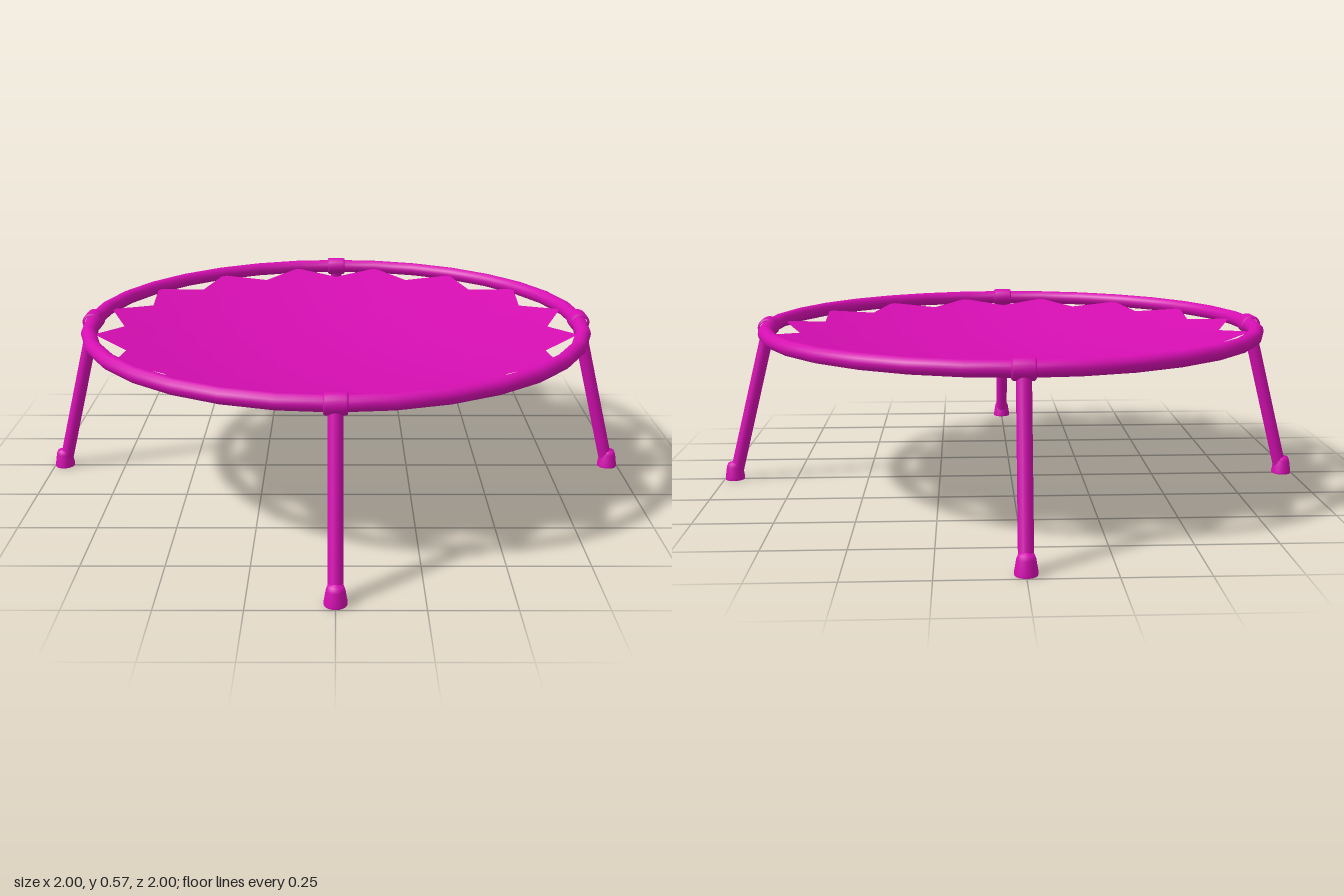
import * as THREE from 'three';
import { mergeVertices } from 'three/addons/utils/BufferGeometryUtils.js';

const RING_R = 0.825, RING_Y = 0.535, FOOT_R = 0.965;
const material = new THREE.MeshStandardMaterial({ color: 0xd60eb2 });
const matMaterial = new THREE.MeshStandardMaterial({ color: 0xd60eb2, side: THREE.DoubleSide });

function part(name, geometry, mat = material) {
  const mesh = new THREE.Mesh(geometry, mat);
  mesh.name = name;
  return mesh;
}

// Sagging sheet with a sixteen-pointed zigzag edge
function jumpingSheet() {
  let g = new THREE.RingGeometry(0, 1, 32, 14);
  g.rotateX(-Math.PI / 2);
  const p = g.attributes.position;
  for (let i = 0; i < p.count; i++) {
    const x = p.getX(i), z = p.getZ(i);
    const t = Math.hypot(x, z);
    const step = Math.round(Math.atan2(z, x) / (Math.PI / 16));
    const edge = step % 2 === 0 ? 0.722 : 0.808;
    const r = t * edge;
    p.setXYZ(i, x * edge, 0.442 + 0.09 * (r / 0.808) ** 2, z * edge);
  }
  g.deleteAttribute('uv');
  g.deleteAttribute('normal');
  g = mergeVertices(g, 1e-5);
  g.computeVertexNormals();
  return g;
}

// One leg on the +x side: tube, rubber foot and the sleeve around the ring
function leg() {
  const group = new THREE.Group();
  const top = new THREE.Vector3(RING_R, RING_Y, 0);
  const bottom = new THREE.Vector3(FOOT_R - 0.004, 0.015, 0);
  const dir = top.clone().sub(bottom);
  const tube = part('legTube', new THREE.CylinderGeometry(0.022, 0.022, dir.length(), 16));
  tube.position.copy(top).add(bottom).multiplyScalar(0.5);
  tube.quaternion.setFromUnitVectors(new THREE.Vector3(0, 1, 0), dir.normalize());

  const profile = [[0, 0], [0.033, 0], [0.033, 0], [0.033, 0.009], [0.027, 0.045], [0.022, 0.058], [0, 0.064]]
    .map(([r, y]) => new THREE.Vector2(r, y));
  const foot = part('foot', new THREE.LatheGeometry(profile, 20));
  foot.position.x = FOOT_R;

  const sleeveProfile = [[0.024, -0.034], [0.029, -0.034], [0.033, -0.029], [0.033, 0.029], [0.029, 0.034], [0.024, 0.034]]
    .map(([r, y]) => new THREE.Vector2(r, y));
  const sleeve = part('ringSleeve', new THREE.LatheGeometry(sleeveProfile, 20));
  sleeve.rotation.x = Math.PI / 2;
  sleeve.position.copy(top);

  group.add(tube, foot, sleeve);
  return group;
}

export function createModel() {
  const model = new THREE.Group();
  model.name = 'trampoline';

  // Round frame
  const ring = part('frameRing', new THREE.TorusGeometry(RING_R, 0.025, 12, 32));
  ring.rotation.x = Math.PI / 2;
  ring.position.y = RING_Y;
  model.add(ring, part('jumpingSheet', jumpingSheet(), matMaterial));

  // Four splayed legs
  ['leftLeg', 'backLeg', 'rightLeg', 'frontLeg'].forEach((name, i) => {
    const l = leg();
    l.name = name;
    l.rotation.y = i * Math.PI / 2;
    model.add(l);
  });
  return model;
}
